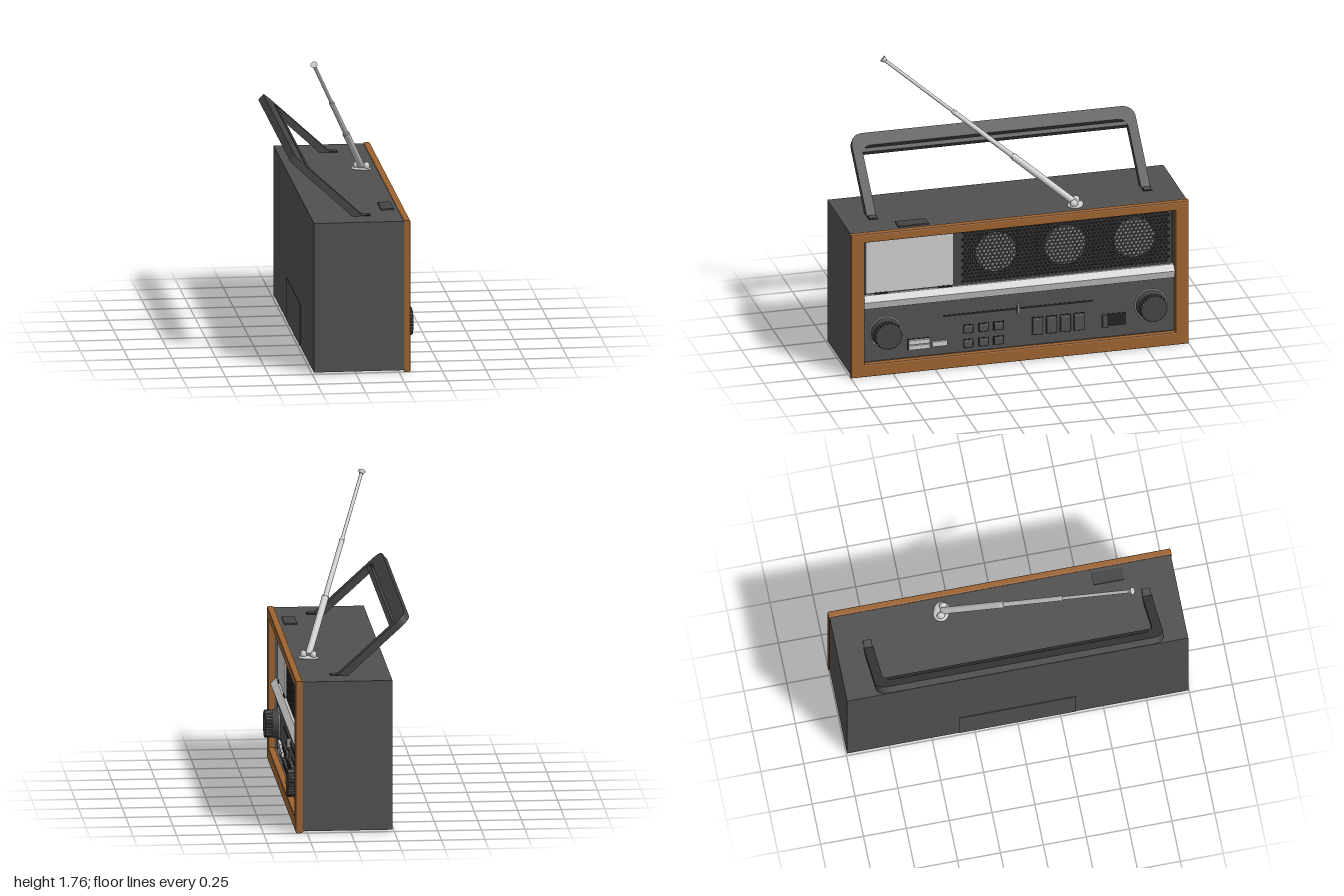
import * as THREE from 'three';
import { RoundedBoxGeometry } from 'three/addons/geometries/RoundedBoxGeometry.js';

const mat = (color) => new THREE.MeshStandardMaterial({ color, roughness: 0.8 });
const silver = mat(0xcccccc), dark = mat(0x505050), trim = mat(0x444444), black = mat(0x222222);
const wood = mat(0x9c6230), speakerGrey = mat(0x909090);

export function createModel() {
  const root = new THREE.Group();
  root.name = 'portableRadio';
  // The radio is laid out facing local +z, then turned to face +x.
  const radio = new THREE.Group();
  radio.name = 'radio';
  radio.rotation.y = Math.PI / 2;
  root.add(radio);

  const add = (name, geometry, material, x = 0, y = 0, z = 0, parent = radio) => {
    const mesh = new THREE.Mesh(geometry, material);
    mesh.name = name;
    mesh.position.set(x, y, z);
    parent.add(mesh);
    return mesh;
  };
  // Box given by its extents
  const block = (name, material, x0, x1, y0, y1, z0, z1, round = 0) => {
    const w = x1 - x0, h = y1 - y0, d = z1 - z0;
    const g = round ? new RoundedBoxGeometry(w, h, d, 2, round) : new THREE.BoxGeometry(w, h, d);
    return add(name, g, material, (x0 + x1) / 2, (y0 + y1) / 2, (z0 + z1) / 2);
  };
  const rect = (T, x0, x1, y0, y1) => new T([[x0, y0], [x1, y0], [x1, y1], [x0, y1]].map((p) => new THREE.Vector2(...p)));
  const ring = (outer, inner, depth, bevel = 0) => {
    const s = rect(THREE.Shape, ...outer);
    s.holes.push(rect(THREE.Path, ...inner));
    return new THREE.ExtrudeGeometry(s, {
      depth, bevelEnabled: bevel > 0, bevelSize: bevel, bevelThickness: bevel, bevelOffset: -bevel, bevelSegments: 2,
    });
  };

  // Cabinet with a shallow opening at the front
  block('cabinet', dark, -0.995, 0.995, 0.01, 0.885, -0.24, 0.225);
  add('cabinetRim', ring([-0.995, 0.995, 0.01, 0.885], [-0.925, 0.925, 0.075, 0.84], 0.06), dark, 0, 0, 0.225);
  add('woodenFrame', ring([-1, 1, 0, 0.89], [-0.92, 0.92, 0.08, 0.835], 0.024, 0.008), wood, 0, 0, 0.284);
  block('batteryDoor', dark, -0.34, 0.34, 0.015, 0.26, -0.244, -0.235);
  block('topButton', trim, -0.705, -0.525, 0.88, 0.893, 0.18, 0.255);

  // Control panel and silver divider strip
  block('controlPanel', dark, -0.925, 0.925, 0.075, 0.42, 0.2, 0.265);
  const strip = new THREE.Shape([[0.2, 0.41], [0.288, 0.41], [0.302, 0.455], [0.27, 0.487], [0.2, 0.487]]
    .map((p) => new THREE.Vector2(...p)));
  const stripMesh = add('dividerStrip', new THREE.ExtrudeGeometry(strip, { depth: 1.84, bevelEnabled: false }), silver, 0.92);
  stripMesh.rotation.y = -Math.PI / 2;

  // Display window
  block('displaySurround', trim, -0.92, -0.34, 0.48, 0.84, 0.2, 0.255);
  block('displayWindow', silver, -0.9, -0.38, 0.495, 0.825, 0.25, 0.264);
  for (const y of [0.492, 0.828])
    for (const x of [-0.81, -0.43]) block('displayClip', black, x - 0.04, x + 0.04, y - 0.006, y + 0.006, 0.25, 0.268);

  // Perforated speaker grille
  const grille = rect(THREE.Shape, -0.34, 0.915, 0.485, 0.835);
  const pitch = 0.025, rowStep = pitch * 0.866, holeR = 0.0095;
  for (let r = 0; r < 15; r++) {
    for (let c = 0; c < 49; c++) {
      const cx = -0.322 + c * pitch + (r % 2) * pitch / 2, cy = 0.508 + r * rowStep;
      const pts = [];
      for (let k = 0; k < 6; k++) {
        const a = -(k + 0.5) * Math.PI / 3;
        pts.push(new THREE.Vector2(cx + holeR * Math.cos(a), cy + holeR * Math.sin(a)));
      }
      grille.holes.push(new THREE.Path(pts));
    }
  }
  add('speakerGrille', new THREE.ExtrudeGeometry(grille, { depth: 0.006, bevelEnabled: false }), trim, 0, 0, 0.25);
  block('grilleBacking', black, -0.34, 0.92, 0.48, 0.84, 0.2, 0.235);
  for (const x of [-0.125, 0.285, 0.695]) {
    const disc = add('speaker', new THREE.CylinderGeometry(0.12, 0.12, 0.012, 40), speakerGrey, x, 0.665, 0.24);
    disc.rotation.x = Math.PI / 2;
  }

  // Knurled knobs
  const gear = new THREE.Shape();
  const teeth = 24;
  for (let i = 0; i < teeth * 4; i++) {
    const a = (i / (teeth * 4)) * Math.PI * 2, r = i % 4 < 2 ? 0.078 : 0.073;
    gear[i ? 'lineTo' : 'moveTo'](r * Math.cos(a), r * Math.sin(a));
  }
  const gripGeo = new THREE.ExtrudeGeometry(gear, { depth: 0.034, bevelThickness: 0.008, bevelSize: 0.006, bevelOffset: -0.003, bevelSegments: 2 });
  for (const x of [-0.785, 0.785]) {
    const knob = new THREE.Group();
    knob.name = 'knob';
    knob.position.set(x, 0.25, 0.265);
    radio.add(knob);
    add('knobRing', new THREE.TorusGeometry(0.092, 0.004, 8, 48), silver, 0, 0, 0.004, knob);
    const base = add('knobBase', new THREE.CylinderGeometry(0.08, 0.09, 0.04, 40), trim, 0, 0, 0.02, knob);
    base.rotation.x = Math.PI / 2;
    add('knobGrip', gripGeo, trim, 0, 0, 0.043, knob);
  }

  // Tuning slider, buttons, switch and indicators
  block('tuningSlot', black, -0.445, 0.445, 0.303, 0.314, 0.26, 0.267);
  block('tuningPointer', speakerGrey, -0.007, 0.007, 0.283, 0.335, 0.262, 0.285);
  const button = (name, x, y, w, h, d) => {
    block(name + 'Surround', black, x - w / 2 - 0.004, x + w / 2 + 0.004, y - h / 2 - 0.004, y + h / 2 + 0.004, 0.26, 0.267);
    block(name, dark, x - w / 2, x + w / 2, y - h / 2, y + h / 2, 0.255, 0.265 + d, 0.006);
  };
  for (let i = 0; i < 3; i++) for (const y of [0.125, 0.215]) button('smallButton', -0.295 + i * 0.09, y, 0.055, 0.045, 0.018);
  for (let i = 0; i < 4; i++) button('bandButton', 0.115 + i * 0.082, 0.19, 0.06, 0.1, 0.022);
  block('switchSlot', black, 0.495, 0.64, 0.14, 0.217, 0.26, 0.268);
  block('switchSlider', dark, 0.497, 0.528, 0.14, 0.217, 0.26, 0.288);
  block('socketPlate', black, -0.653, -0.522, 0.122, 0.188, 0.26, 0.268);
  for (const y of [0.139, 0.171]) block('silverKey', silver, -0.65, -0.525, y - 0.013, y + 0.013, 0.26, 0.284);
  block('silverKey', silver, -0.51, -0.42, 0.13, 0.16, 0.26, 0.28);

  // Carrying handle: a rounded U tilted backwards
  const handle = new THREE.Group();
  handle.name = 'handle';
  handle.position.set(0, 0.885, 0);
  handle.rotation.x = -0.83;
  radio.add(handle);
  const L = 0.48, o = 0.84, n = 0.785, bar = L - 0.08;
  const u = new THREE.Shape();
  u.moveTo(-o, -0.04);
  u.lineTo(-n, -0.04);
  u.lineTo(-n, bar - 0.06);
  u.quadraticCurveTo(-n, bar, -n + 0.06, bar);
  u.lineTo(n - 0.06, bar);
  u.quadraticCurveTo(n, bar, n, bar - 0.06);
  u.lineTo(n, -0.04);
  u.lineTo(o, -0.04);
  u.lineTo(o, L - 0.08);
  u.quadraticCurveTo(o, L, o - 0.08, L);
  u.lineTo(-o + 0.08, L);
  u.quadraticCurveTo(-o, L, -o, L - 0.08);
  add('handleBow', new THREE.ExtrudeGeometry(u, { depth: 0.042, bevelEnabled: false, curveSegments: 8 }), trim, 0, 0, 0, handle);
  add('handleGripRail', new THREE.BoxGeometry(1.56, 0.025, 0.038), trim, 0, bar - 0.027, 0.021, handle);
  for (const x of [-0.8125, 0.8125]) {
    block('handleSlot', black, x - 0.026, x + 0.026, 0.88, 0.888, 0, 0.105);
    block('handlePivot', dark, x - 0.02, x + 0.02, 0.88, 0.891, 0.045, 0.1);
  }

  // Telescopic antenna on a swivel base
  const plate = add('antennaPlate', new THREE.CapsuleGeometry(0.045, 0.03, 6, 20), silver, 0.36, 0.887, 0.19);
  plate.rotation.set(0, -0.4, Math.PI / 2, 'YXZ');
  plate.rotation.y = Math.PI / 2 - 0.4;
  plate.scale.x = 0.2;
  for (const s of [-1, 1]) {
    const lug = add('antennaLug', new THREE.SphereGeometry(0.024, 20, 12), silver, 0.357 - s * 0.012, 0.903, 0.19 + s * 0.028);
    lug.scale.set(1, 1, 0.8);
  }
  const start = new THREE.Vector3(0.355, 0.9, 0.19), end = new THREE.Vector3(-0.675, 1.742, -0.203);
  const dir = end.clone().sub(start), length = dir.length();
  const antenna = new THREE.Group();
  antenna.name = 'antenna';
  antenna.position.copy(start);
  antenna.quaternion.setFromUnitVectors(new THREE.Vector3(0, 1, 0), dir.normalize());
  radio.add(antenna);
  const stops = [0, 0.32, 0.63, 0.985], radii = [0.02, 0.0145, 0.01];
  radii.forEach((r, i) => {
    const a = stops[i] * length, b = stops[i + 1] * length;
    add('antennaSection', new THREE.CylinderGeometry(r, r, b - a, 16), silver, 0, (a + b) / 2, 0, antenna);
    if (i < 2) add('antennaCollar', new THREE.CylinderGeometry(r * 0.85, r * 1.1, 0.02, 16), silver, 0, b, 0, antenna);
  });
  add('antennaTip', new THREE.CylinderGeometry(0.021, 0.012, 0.022, 16), silver, 0, length - 0.008, 0, antenna);
  return root;
}
